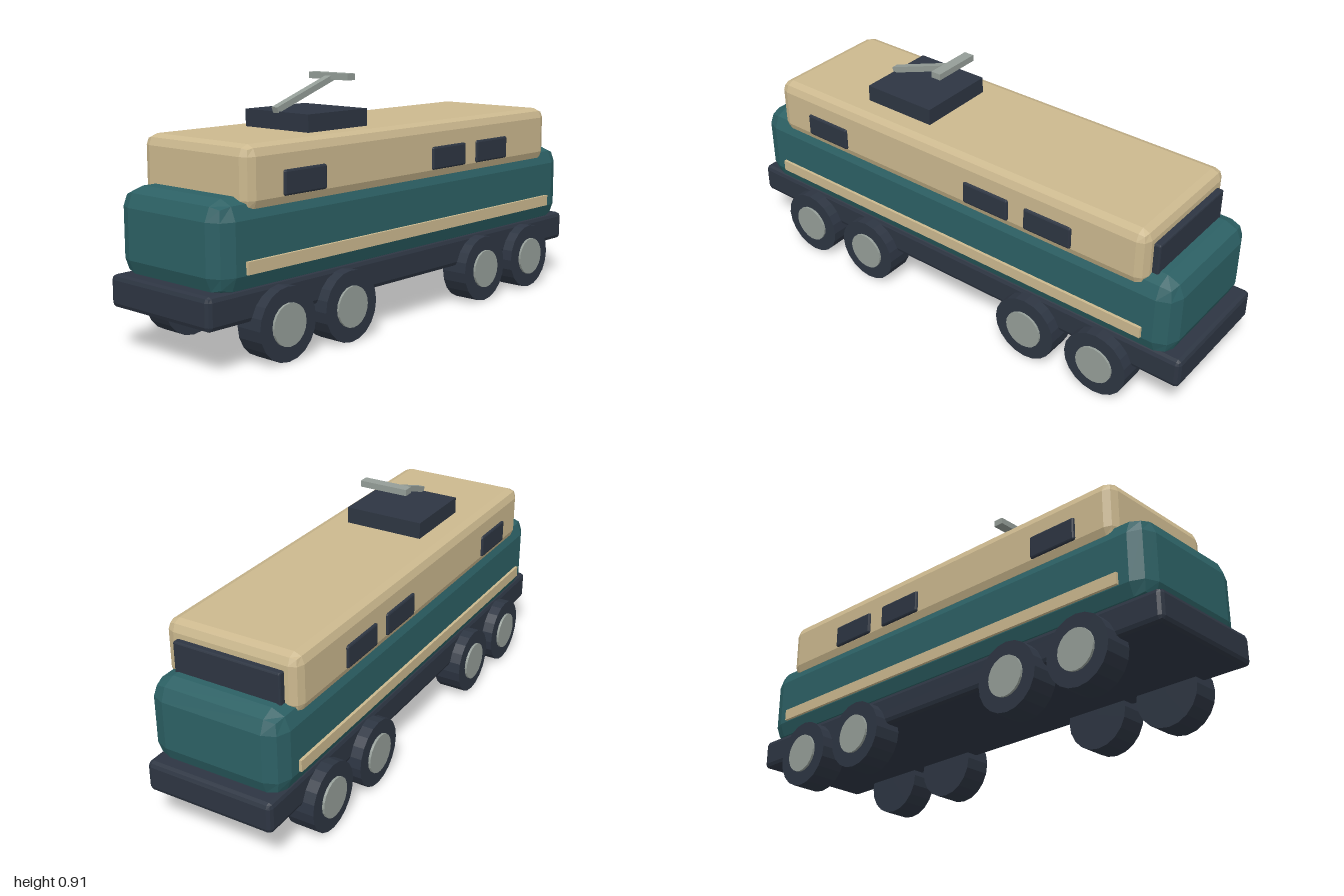
import * as THREE from 'three';
import { RoundedBoxGeometry } from 'three/addons/geometries/RoundedBoxGeometry.js';

const paint = (name, color) => {
  const m = new THREE.MeshStandardMaterial({ color, flatShading: true });
  m.name = name;
  return m;
};

export function createModel() {
  const dark = paint('dark slate', 0x2d3542);
  const teal = paint('deep teal', 0x2c6064);
  const cream = paint('cream', 0xcbb88e);
  const metal = paint('grey metal', 0x949d97);

  const model = new THREE.Group();
  model.name = 'locomotive';

  const add = (name, geometry, material, x, y, z, parent = model) => {
    const mesh = new THREE.Mesh(geometry, material);
    mesh.name = name;
    mesh.position.set(x, y, z);
    parent.add(mesh);
    return mesh;
  };
  // Box with two-step bevelled edges
  const bevelBox = (w, h, d, r) => new RoundedBoxGeometry(w, h, d, 1, r);

  // Stacked hull: chassis, lower body, upper cabin
  add('chassis', bevelBox(0.5, 0.115, 2, 0.018), dark, 0, 0.2075, 0);
  add('lowerBody', bevelBox(0.526, 0.315, 1.92, 0.068), teal, 0, 0.4025, 0);
  add('upperCabin', bevelBox(0.526, 0.217, 1.68, 0.038), cream, 0, 0.6185, 0);
  add('rearWindow', bevelBox(0.42, 0.13, 0.03, 0.006), dark, 0, 0.605, -0.85);

  // Mirrored side details
  const wheelGeo = new THREE.CylinderGeometry(0.128, 0.128, 0.107, 20).rotateZ(Math.PI / 2);
  const hubGeo = new THREE.CylinderGeometry(0.074, 0.074, 0.03, 20).rotateZ(Math.PI / 2);
  const windowGeo = bevelBox(0.03, 0.086, 0.198, 0.007);
  const stripeGeo = new THREE.BoxGeometry(0.02, 0.043, 1.7);
  for (const side of [1, -1]) {
    const label = side > 0 ? 'left' : 'right';
    add(label + 'Stripe', stripeGeo, cream, side * 0.264, 0.338, 0);
    for (const z of [0.583, -0.185, -0.453]) {
      add(label + 'Window', windowGeo, dark, side * 0.257, 0.592, z);
    }
    for (const z of [0.695, 0.39, -0.385, -0.692]) {
      const wheel = new THREE.Group();
      wheel.name = label + 'Wheel';
      wheel.position.set(side * 0.2405, 0.128, z);
      add('tyre', wheelGeo, dark, 0, 0, 0, wheel);
      add('hub', hubGeo, metal, side * 0.0475, 0, 0, wheel);
      model.add(wheel);
    }
  }

  // Current collector on the roof
  const collector = new THREE.Group();
  collector.name = 'roofCollector';
  model.add(collector);
  add('collectorBase', new THREE.BoxGeometry(0.314, 0.07, 0.3), dark, 0, 0.755, 0.308, collector);
  const arm = add('collectorArm', new THREE.BoxGeometry(0.028, 0.022, 0.305), metal, 0, 0.846, 0.319, collector);
  arm.rotation.x = 0.34;
  add('collectorBar', new THREE.BoxGeometry(0.194, 0.024, 0.04), metal, 0, 0.9, 0.175, collector);

  return model;
}
